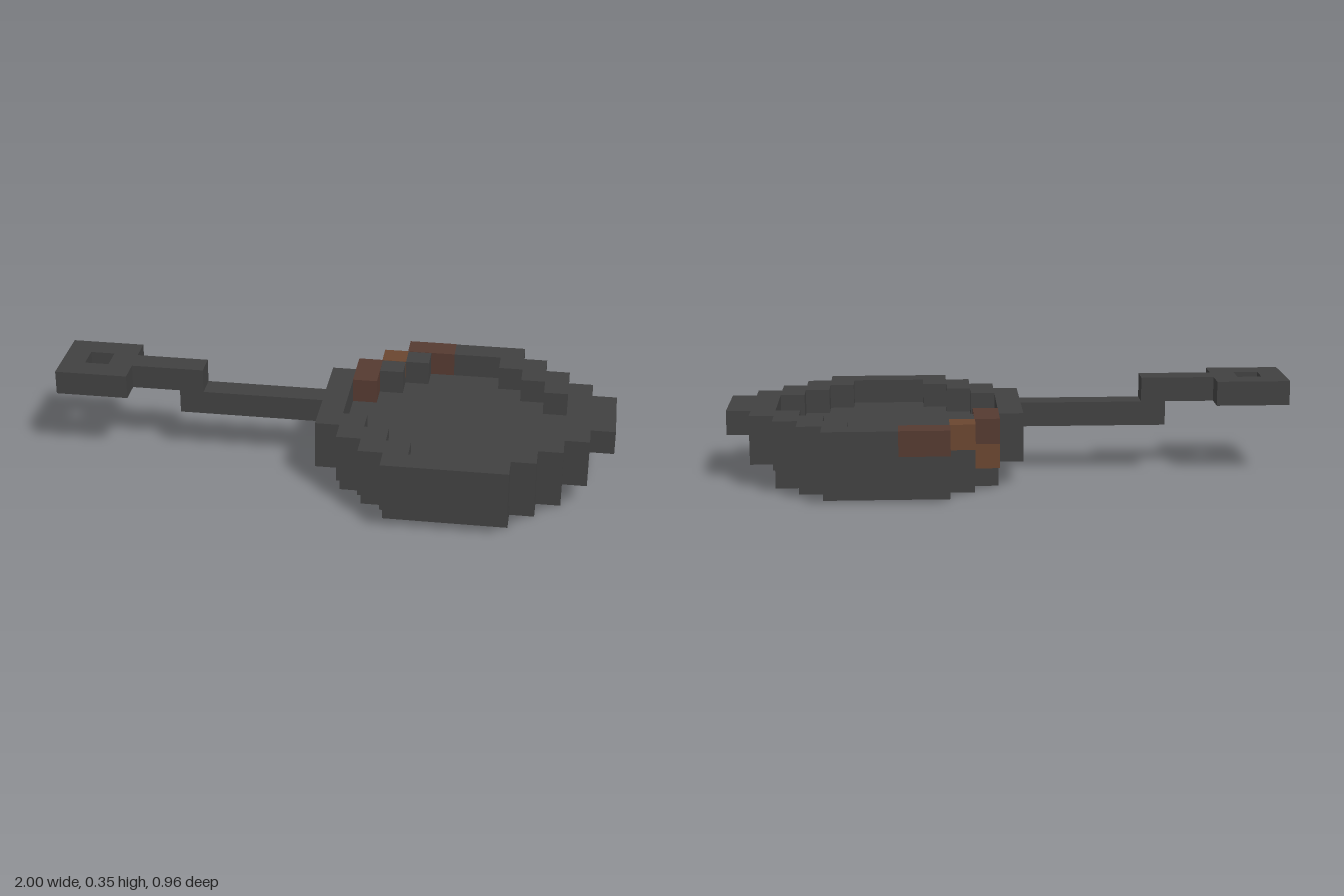
import * as THREE from 'three';

const U = 2 / 23; // size of one block
const CX = 16.5, CZ = 5.5; // pan centre, in blocks

const iron = new THREE.MeshStandardMaterial({ color: 0x414141 });
iron.name = 'cast iron';
const rust = new THREE.MeshStandardMaterial({ color: 0x553a31 });
rust.name = 'dark rust';
const brightRust = new THREE.MeshStandardMaterial({ color: 0x6a4630 });
brightRust.name = 'bright rust';

// Stepped round outline, mirrored from the [half width, half depth] corners of one quarter.
// Runs counter-clockwise so that walls and hole walls face outward.
function steppedOutline(steps) {
  const quarter = [];
  steps.forEach(([w, d], i) => {
    quarter.push([w, d]);
    if (i < steps.length - 1) quarter.push([w, steps[i + 1][1]]);
  });
  const back = [...quarter].reverse();
  const mirror = (pts, sx, sz) => pts.map(([x, z]) => new THREE.Vector2(x * sx * U, z * sz * U));
  return [
    ...mirror(back, 1, 1), ...mirror(quarter, -1, 1),
    ...mirror(back, -1, -1), ...mirror(quarter, 1, -1),
  ];
}

// Flat slab of the given outline, one block high, with an optional hole
function slab(name, outline, layer, hole) {
  const shape = new THREE.Shape(outline);
  if (hole) shape.holes.push(new THREE.Path(hole));
  const geo = new THREE.ExtrudeGeometry(shape, { depth: U, bevelEnabled: false });
  geo.rotateX(Math.PI / 2);
  const mesh = new THREE.Mesh(geo, iron);
  mesh.name = name;
  mesh.position.set(CX * U - 1, (layer + 1) * U, 0);
  return mesh;
}

// Box covering blocks x0..x1, z0..z1 in one layer
function block(name, x0, x1, z0, z1, layer, material, grow = 0) {
  const geo = new THREE.BoxGeometry((x1 - x0) * U + grow, U + grow, (z1 - z0) * U + grow);
  const mesh = new THREE.Mesh(geo, material);
  mesh.name = name;
  mesh.position.set((x0 + x1) / 2 * U - 1, (layer + 0.5) * U, ((z0 + z1) / 2 - CZ) * U);
  return mesh;
}

export function createModel() {
  const pan = new THREE.Group();
  pan.name = 'fryingPan';

  // Bowl: narrow base, solid floor, open rim
  const base = steppedOutline([[2.5, 4.5], [3.5, 3.5], [4.5, 2.5]]);
  const wall = steppedOutline([[2.5, 5.5], [3.5, 4.5], [4.5, 3.5], [5.5, 2.5]]);
  const opening = steppedOutline([[1.5, 4.5], [2.5, 3.5], [3.5, 2.5], [4.5, 1.5]]);
  pan.add(slab('base', base, 0));
  pan.add(slab('floor', wall, 1));
  pan.add(slab('rim', wall, 2, opening));
  pan.add(block('frontLip', 22, 23, 4, 7, 2, iron));

  // Handle, stepping up to the hanging ring
  pan.add(block('lowerHandle', 5, 11, 5, 6, 2, iron));
  pan.add(block('upperHandle', 3, 6, 5, 6, 3, iron));
  const ring = slab('hangingRing', steppedOutline([[1.5, 1.5]]), 3, steppedOutline([[0.5, 0.5]]));
  ring.position.x = 1.5 * U - 1;
  pan.add(ring);

  // Rust patches as a thin skin over the rim blocks
  const patches = [
    [14, 16, 0, 1, 2, rust],
    [13, 14, 1, 2, 2, brightRust],
    [12, 13, 2, 3, 2, rust],
    [12, 13, 3, 4, 2, rust],
    [12, 13, 2, 3, 1, brightRust],
  ];
  patches.forEach((p, i) => pan.add(block('rustPatch' + (i + 1), ...p, 0.002)));

  return pan;
}
